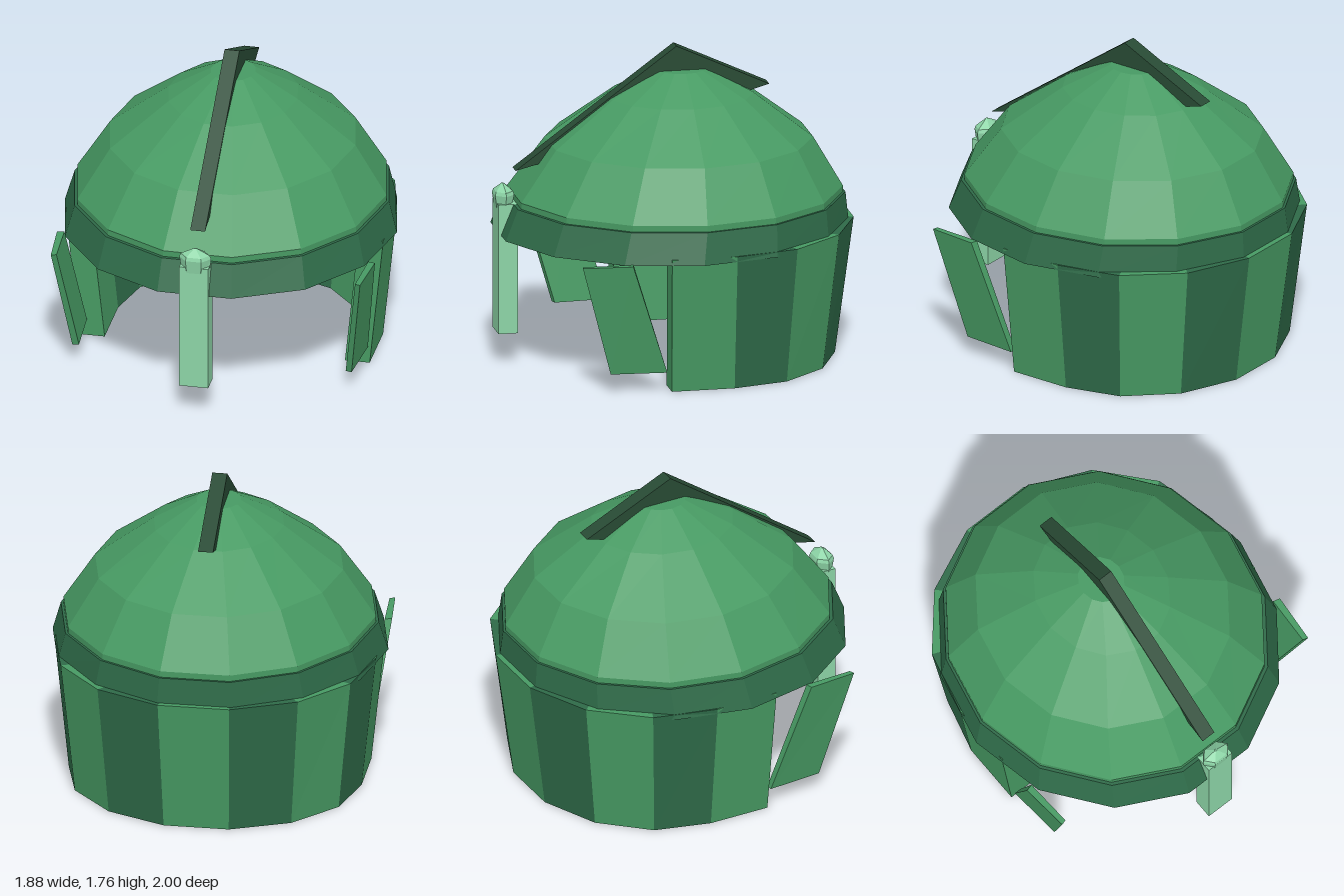
import * as THREE from 'three';

const SIDES = 14;
const mat = (name, color) => {
  const m = new THREE.MeshStandardMaterial({ color, flatShading: true });
  m.name = name;
  return m;
};

// Solid skin over stacked rings (each counterclockwise seen from above), capped at both ends.
function loft(rings) {
  const pos = [];
  const tri = (...pts) => pts.forEach((p) => pos.push(...p));
  const n = rings[0].length;
  for (let r = 0; r < rings.length - 1; r++) {
    const lo = rings[r], hi = rings[r + 1];
    for (let i = 0; i < n; i++) {
      const j = (i + 1) % n;
      tri(lo[i], lo[j], hi[j]);
      tri(lo[i], hi[j], hi[i]);
    }
  }
  const bottom = rings[0], top = rings[rings.length - 1];
  for (let i = 1; i < n - 1; i++) {
    tri(bottom[0], bottom[i + 1], bottom[i]);
    tri(top[0], top[i], top[i + 1]);
  }
  const g = new THREE.BufferGeometry();
  g.setAttribute('position', new THREE.Float32BufferAttribute(pos, 3));
  g.computeVertexNormals();
  return g;
}

// Elliptical ring with a flat facet facing the front.
function ring(y, rx, rz, zc, sides = SIDES) {
  return Array.from({ length: sides }, (_, i) => {
    const a = ((i + 0.5) / sides) * Math.PI * 2;
    return [rx * Math.sin(a), y, zc + rz * Math.cos(a)];
  });
}

export function createModel() {
  const group = new THREE.Group();
  group.name = 'helmet';
  const green = mat('green', 0x479a63);
  const dark = mat('darkGreen', 0x2e6a48);
  const deep = mat('deepGreen', 0x284a34);
  const pale = mat('paleGreen', 0x8cd4a6);
  const add = (name, geometry, material, parent = group) => {
    const m = new THREE.Mesh(geometry, material);
    m.name = name;
    parent.add(m);
    return m;
  };

  // Faceted dome
  add('dome', loft([
    ring(0.9, 0.875, 0.933, -0.03),
    ring(0.955, 0.875, 0.933, -0.03),
    ring(1.235, 0.695, 0.746, -0.052),
    ring(1.485, 0.365, 0.41, -0.06),
    ring(1.625, 0.125, 0.138, -0.065),
  ]), green);

  // Flared brow band
  add('browBand', loft([
    ring(0.745, 0.94, 0.995, 0),
    ring(0.92, 0.89, 0.95, -0.027),
  ]), dark);

  // Neck guard: panels in alternating greens, curved at the back with straight side ends
  const neck = new THREE.Group();
  neck.name = 'neckGuard';
  group.add(neck);
  const path = (y, rx, rz, zEnd) => {
    const pts = [[rx, y, zEnd]];
    for (let k = 0; k <= 7; k++) {
      const a = Math.PI / 2 - (k / 7) * Math.PI;
      pts.push([rx * Math.sin(a), y, -0.195 - rz * Math.cos(a)]);
    }
    pts.push([-rx, y, zEnd]);
    return pts;
  };
  const outLow = path(0, 0.82, 0.72, 0.16), outHigh = path(0.775, 0.9, 0.825, 0.175);
  const inLow = path(0, 0.68, 0.6, 0.16), inHigh = path(0.775, 0.76, 0.705, 0.175);
  for (let i = 0; i < 9; i++) {
    const section = (o, n) => [o[i], o[i + 1], n[i + 1], n[i]];
    add('neckPanel', loft([section(outLow, inLow), section(outHigh, inHigh)]), i % 2 ? dark : green, neck);
  }

  // Slanted cheek guards
  for (const s of [1, -1]) {
    const side = (y, pts) => {
      const r = pts.map(([x, z]) => [s * x, y, z]);
      return s > 0 ? r : r.reverse();
    };
    add(s > 0 ? 'leftCheekGuard' : 'rightCheekGuard', loft([
      side(0.11, [[0.79, 0.5], [0.815, 0.185], [0.775, 0.185], [0.755, 0.49]]),
      side(0.75, [[0.875, 0.675], [0.9, 0.395], [0.86, 0.385], [0.845, 0.665]]),
    ]), green);
  }

  // Nose guard bar and its faceted stud
  add('noseGuard', new THREE.BoxGeometry(0.164, 0.74, 0.11), pale).position.set(0, 0.55, 0.93);
  add('noseStud', loft([
    ring(0.86, 0.075, 0.042, 0.945, 6),
    ring(0.965, 0.09, 0.062, 0.942, 6),
    ring(0.985, 0.082, 0.055, 0.942, 6),
    ring(1.025, 0.008, 0.006, 0.945, 6),
  ]), pale);

  // Ridge crest: side profile drawn as (z, y)
  const profile = new THREE.Shape([
    [0.88, 1.1], [-0.03, 1.765], [-0.555, 1.52], [-0.45, 1.49], [-0.03, 1.62], [0.72, 1.14],
  ].map(([z, y]) => new THREE.Vector2(z, y)));
  const crest = new THREE.ExtrudeGeometry(profile, { depth: 0.084, bevelEnabled: false });
  crest.translate(0, 0, -0.042);
  crest.rotateY(-Math.PI / 2);
  add('crest', crest, deep);

  return group;
}
